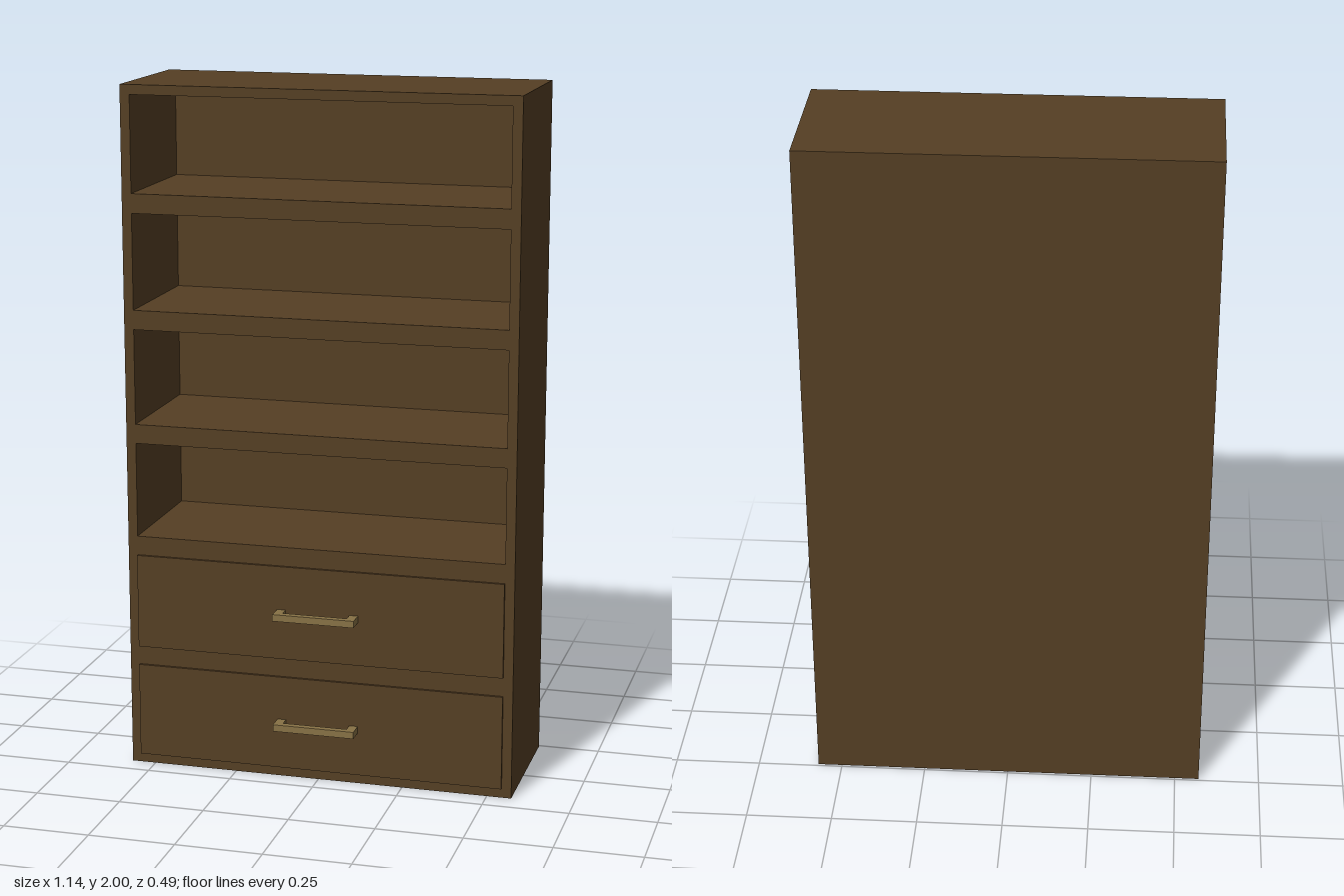
import * as THREE from 'three';

const W = 1.142, H = 2, BACK = -0.243, FRONT = 0.185, T = 0.028;
const BAYS = 6, DRAWERS = 2, PITCH = H / BAYS;
const OPEN_W = W - 2 * T, OPEN_H = PITCH - 2 * T;

const wood = new THREE.MeshStandardMaterial({ color: 0x553f24 });
const brass = new THREE.MeshStandardMaterial({ color: 0x877145 });

function box(name, material, w, h, d, x, y, z) {
  const mesh = new THREE.Mesh(new THREE.BoxGeometry(w, h, d), material);
  mesh.name = name;
  mesh.position.set(x, y, z);
  return mesh;
}

function rectangle(path, w, h, cy) {
  path.moveTo(-w / 2, cy - h / 2);
  path.lineTo(w / 2, cy - h / 2);
  path.lineTo(w / 2, cy + h / 2);
  path.lineTo(-w / 2, cy + h / 2);
  path.closePath();
  return path;
}

// Sides, top, bottom and shelves as one pierced block
function makeFrame() {
  const shape = rectangle(new THREE.Shape(), W, H, H / 2);
  for (let i = 0; i < BAYS; i++) {
    shape.holes.push(rectangle(new THREE.Path(), OPEN_W, OPEN_H, (i + 0.5) * PITCH));
  }
  const geometry = new THREE.ExtrudeGeometry(shape, { depth: FRONT - BACK - T, bevelEnabled: false });
  const frame = new THREE.Mesh(geometry, wood);
  frame.name = 'shelfFrame';
  frame.position.z = BACK + T;
  return frame;
}

// Drawer block standing slightly proud of the frame, with a bracket pull
function makeDrawer(y) {
  const drawer = new THREE.Group();
  drawer.name = 'drawer';
  const face = FRONT + 0.008, back = BACK + T, tip = 0.243;
  drawer.add(box('drawerBody', wood, OPEN_W, OPEN_H, face - back, 0, y, (face + back) / 2));

  const handle = new THREE.Group();
  handle.name = 'handle';
  const bar = 0.02, postW = 0.025, halfW = 0.12;
  handle.add(box('handleBar', brass, 2 * halfW, bar, bar, 0, y, tip - bar / 2));
  const postD = tip - bar - face;
  for (const side of [-1, 1]) {
    handle.add(box('handlePost', brass, postW, bar, postD, side * (halfW - postW / 2), y, face + postD / 2));
  }
  drawer.add(handle);
  return drawer;
}

export function createModel() {
  const model = new THREE.Group();
  model.name = 'bookcase';
  model.add(makeFrame());
  model.add(box('backPanel', wood, W, H, T, 0, H / 2, BACK + T / 2));
  for (let i = 0; i < DRAWERS; i++) model.add(makeDrawer((i + 0.5) * PITCH));
  return model;
}
